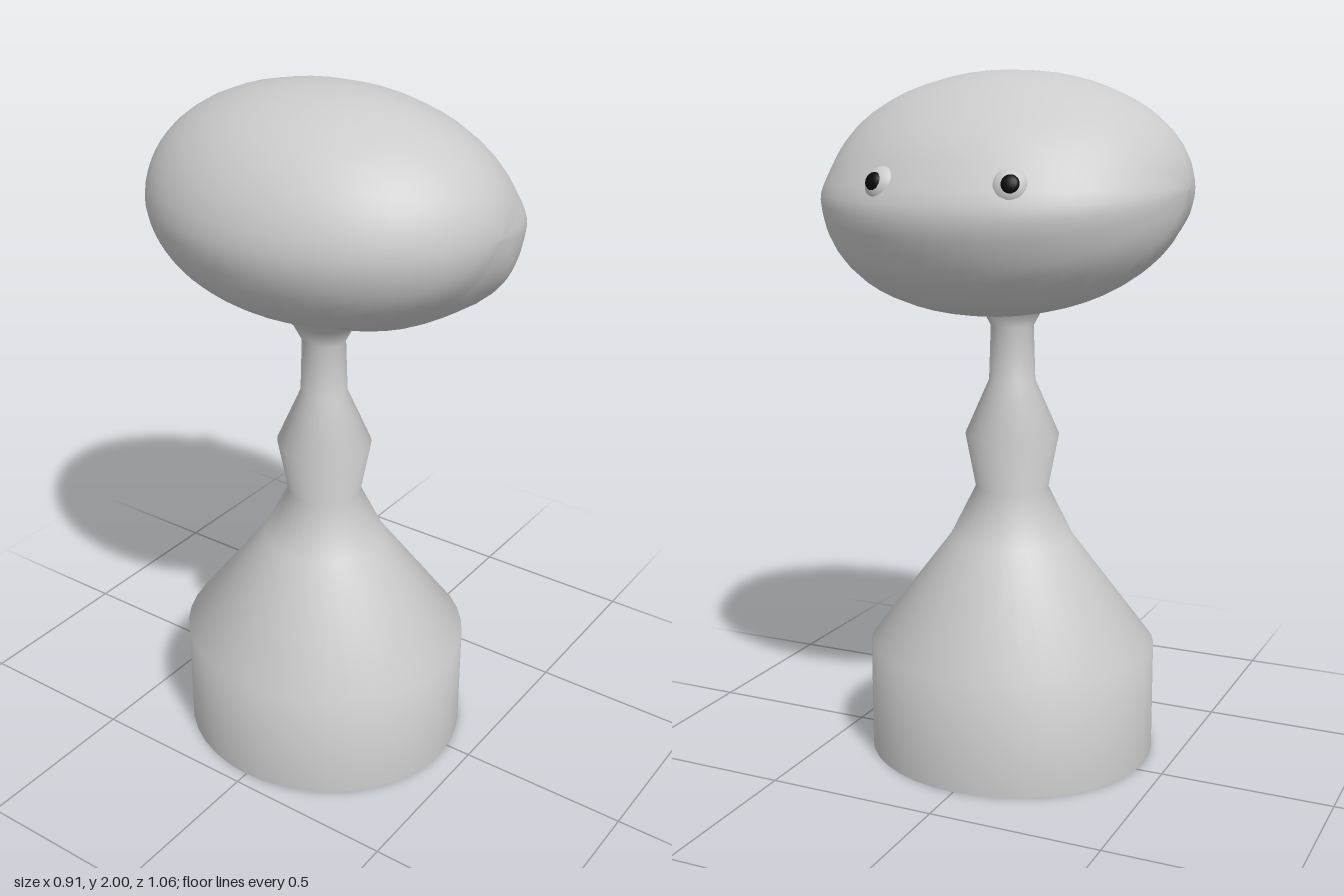
import * as THREE from 'three';

const grey = new THREE.MeshStandardMaterial({ color: 0xcccccc });
const greyOpen = new THREE.MeshStandardMaterial({ color: 0xcccccc, side: THREE.DoubleSide });
const black = new THREE.MeshStandardMaterial({ color: 0x080808 });

function addMesh(parent, name, geometry, material) {
  const mesh = new THREE.Mesh(geometry, material);
  mesh.name = name;
  parent.add(mesh);
  return mesh;
}

// Side outline of the head (x, y): back, underside, muzzle, brow, crown
const headOutline = [
  [-0.46, 1.68], [-0.44, 1.58], [-0.38, 1.49], [-0.29, 1.425], [-0.18, 1.38],
  [-0.1, 1.345], [0.02, 1.332], [0.16, 1.33], [0.27, 1.355], [0.37, 1.43],
  [0.42, 1.51], [0.453, 1.62], [0.41, 1.72], [0.35, 1.81], [0.26, 1.89],
  [0.13, 1.965], [-0.04, 2.0], [-0.2, 1.975], [-0.33, 1.905], [-0.42, 1.8],
];

// The outline shrinks towards a pole on each side, with a slightly fuller muzzle
function headGeometry() {
  const curve = new THREE.CatmullRomCurve3(
    headOutline.map(([x, y]) => new THREE.Vector3(x, y, 0)), true);
  const ring = curve.getPoints(48).slice(0, 48);
  const n = ring.length, rows = 28, cx = -0.03, cy = 1.68;
  const positions = [], index = [];
  for (let i = 0; i <= rows; i++) {
    const a = Math.PI * i / rows;
    for (const p of ring) {
      const dx = p.x - cx, dy = p.y - cy;
      const muzzle = THREE.MathUtils.smoothstep(dx - dy, 0.2, 0.6);
      const s = Math.pow(Math.sin(a) + 1e-6, 1 - 0.15 * muzzle);
      positions.push(cx + dx * s, cy + dy * s, 0.53 * Math.cos(a));
    }
  }
  for (let i = 0; i < rows; i++) {
    for (let j = 0; j < n; j++) {
      const k = (j + 1) % n;
      const a = i * n + j, b = i * n + k, c = a + n, d = b + n;
      index.push(a, c, d, a, d, b);
    }
  }
  const g = new THREE.BufferGeometry();
  g.setAttribute('position', new THREE.Float32BufferAttribute(positions, 3));
  g.setIndex(index);
  g.computeVertexNormals();
  return g;
}

export function createModel() {
  const model = new THREE.Group();
  model.name = 'figure';

  // Hollow body and neck, open at the bottom, flaring into the head
  const profile = [
    [0.407, 0], [0.407, 0.33], [0.175, 0.65], [0.103, 0.8], [0.132, 0.96],
    [0.065, 1.12], [0.06, 1.28], [0.088, 1.335], [0.16, 1.4],
  ].map(([r, y]) => new THREE.Vector2(r, y));
  const bodyGeometry = new THREE.LatheGeometry(profile, 40);
  bodyGeometry.scale(1, 1, 1.05);
  bodyGeometry.translate(-0.051, 0, 0);
  addMesh(model, 'bodyAndNeck', bodyGeometry, greyOpen);

  addMesh(model, 'head', headGeometry(), grey);

  // Eyes on the +x side of the head
  for (const side of [1, -1]) {
    const eye = new THREE.Group();
    eye.name = side > 0 ? 'leftEye' : 'rightEye';
    eye.position.set(0.377, 1.695, side * 0.185);
    eye.rotation.set(0, -side * 0.2, 0.35);
    const ball = addMesh(eye, 'eyeball', new THREE.SphereGeometry(0.05, 20, 14), grey);
    ball.scale.x = 0.7;
    const pupil = addMesh(eye, 'pupil', new THREE.SphereGeometry(0.025, 16, 12), black);
    pupil.scale.x = 0.5;
    pupil.position.set(0.029, 0, side * 0.006);
    model.add(eye);
  }
  return model;
}
